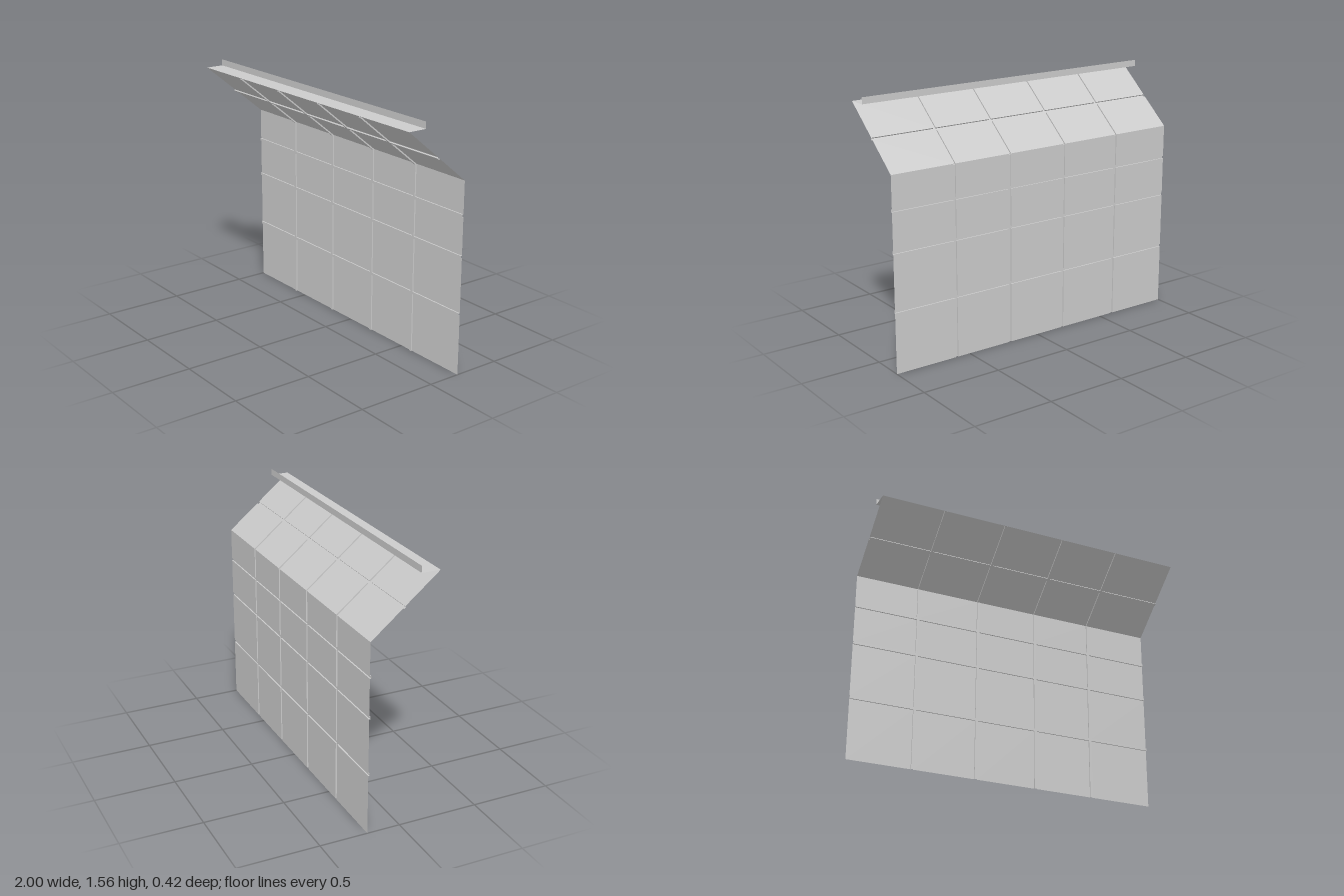
import * as THREE from 'three';
import { mergeGeometries } from 'three/addons/utils/BufferGeometryUtils.js';

const material = new THREE.MeshStandardMaterial({ color: 0xcccccc, side: THREE.DoubleSide });
const WIDTH = 2, SEAM = 0.016, DEPTH = 0.008;
const FOLD_Y = 1.18, BACK = -0.205, TIP_Y = 1.52, TIP_Z = 0.205;
const columnSeams = [-0.597, -0.195, 0.203, 0.588];

// Flat rectangle between two corners at a given depth
function face(x0, x1, y0, y1, z) {
  return new THREE.PlaneGeometry(x1 - x0, y1 - y0).translate((x0 + x1) / 2, (y0 + y1) / 2, z);
}

// Seam centres to alternating [start, end] panel spans
function spans(start, end, seams) {
  const starts = [start, ...seams.map(s => s + SEAM / 2)];
  const ends = [...seams.map(s => s - SEAM / 2), end];
  return starts.map((s, i) => [s, ends[i]]);
}

// Sheet of flat panels parted by shallow channels pressed towards +z
function panelledSheet(name, height, rowSeams) {
  const columns = spans(-WIDTH / 2, WIDTH / 2, columnSeams);
  const rows = spans(0, height, rowSeams);
  const panels = [], channels = [];

  const sideWall = (x, y0, y1) => channels.push(
    new THREE.PlaneGeometry(DEPTH, y1 - y0).rotateY(Math.PI / 2).translate(x, (y0 + y1) / 2, DEPTH / 2));
  const levelWall = (y, x0, x1) => channels.push(
    new THREE.PlaneGeometry(x1 - x0, DEPTH).rotateX(Math.PI / 2).translate((x0 + x1) / 2, y, DEPTH / 2));

  columns.forEach(([x0, x1], i) => rows.forEach(([y0, y1], j) => {
    panels.push(face(x0, x1, y0, y1, 0));
    if (i > 0) sideWall(x0, y0, y1);
    if (i < columns.length - 1) sideWall(x1, y0, y1);
    if (j > 0) levelWall(y0, x0, x1);
    if (j < rows.length - 1) {
      levelWall(y1, x0, x1);
      channels.push(face(x0, x1, y1, y1 + SEAM, DEPTH));
    }
  }));
  for (const x of columnSeams) channels.push(face(x - SEAM / 2, x + SEAM / 2, 0, height, DEPTH));

  const group = new THREE.Group();
  group.name = name;
  group.add(mesh(name + 'Panels', mergeGeometries(panels)));
  group.add(mesh(name + 'SeamChannels', mergeGeometries(channels)));
  return group;
}

function mesh(name, geometry) {
  const m = new THREE.Mesh(geometry, material);
  m.name = name;
  return m;
}

export function createModel() {
  const model = new THREE.Group();
  model.name = 'panelledWallWithCanopy';

  // Upright wall at the back
  const wall = panelledSheet('wall', FOLD_Y, [0.38, 0.73, 0.975]);
  wall.position.z = BACK;
  model.add(wall);

  // Canopy rising forward from the top of the wall
  const rise = TIP_Y - FOLD_Y, reach = TIP_Z - BACK;
  const canopy = panelledSheet('canopy', Math.hypot(rise, reach), [0.255]);
  canopy.position.set(0, FOLD_Y, BACK);
  canopy.rotation.x = Math.atan2(reach, rise);
  model.add(canopy);

  // Flange folded back from the canopy edge, ending in a small upstand
  const flangeDepth = 0.115, upstand = 0.04;
  const flange = mesh('edgeFlange', new THREE.PlaneGeometry(WIDTH, flangeDepth).rotateX(-Math.PI / 2));
  flange.position.set(0, TIP_Y, TIP_Z - flangeDepth / 2);
  const lip = mesh('edgeUpstand', new THREE.PlaneGeometry(WIDTH, upstand));
  lip.position.set(0, TIP_Y + upstand / 2, TIP_Z - flangeDepth);
  model.add(flange, lip);

  return model;
}
